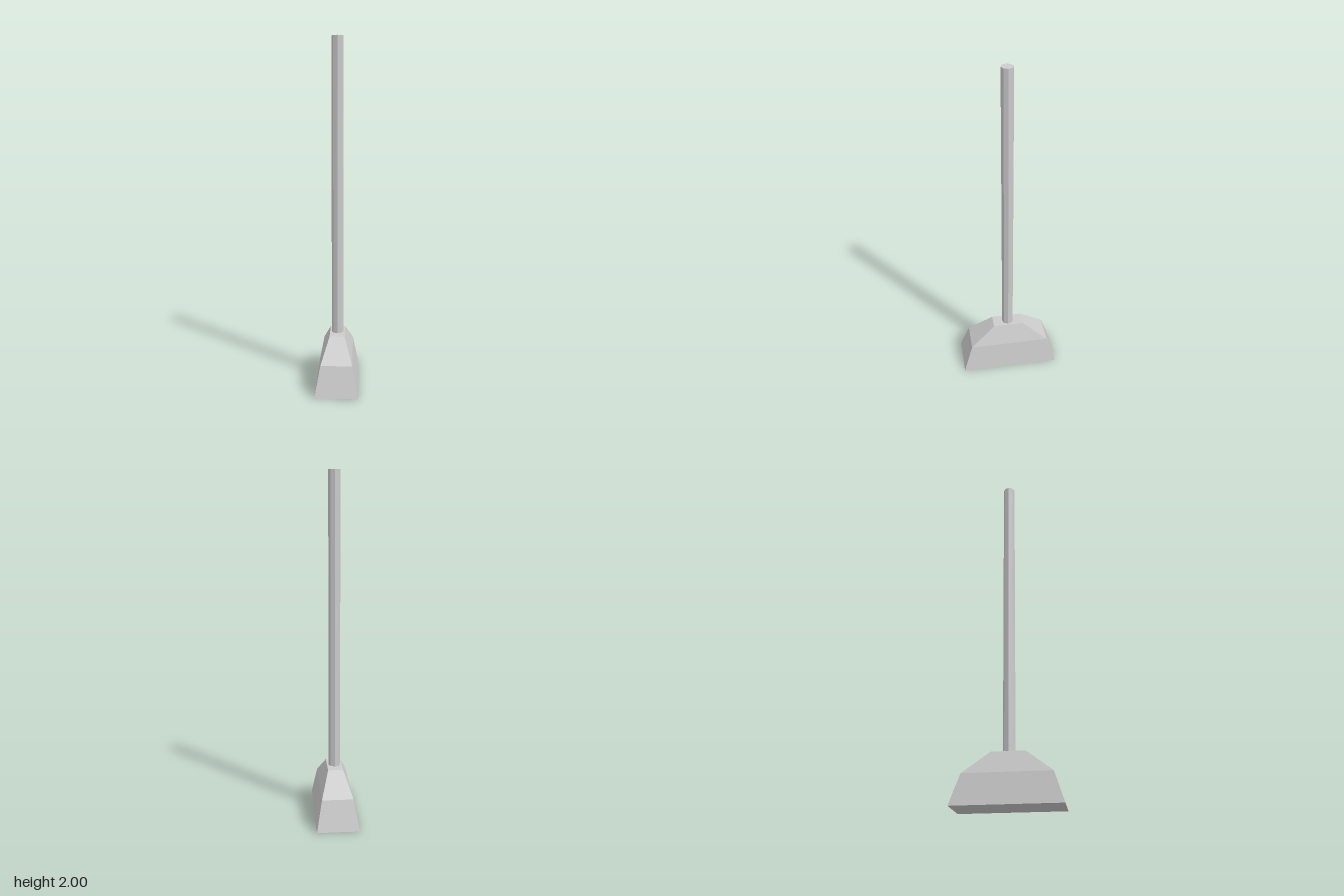
import * as THREE from 'three';

const material = new THREE.MeshStandardMaterial({ color: 0xcccccc, flatShading: true });

// Sections of the head, bottom to top: height, half width (x), half depth (z)
const HEAD_SECTIONS = [
  [0, 0.122, 0.297],
  [0.17, 0.09, 0.242],
  [0.29, 0.044, 0.093],
];

const POLE_RADIUS = 0.034;
const TOP = 2;

// Box with two height segments, each ring of corners moved to its section
function createHead() {
  const geometry = new THREE.BoxGeometry(2, 2, 2, 1, 2, 1);
  const p = geometry.attributes.position;
  for (let i = 0; i < p.count; i++) {
    const [y, halfX, halfZ] = HEAD_SECTIONS[Math.round(p.getY(i)) + 1];
    p.setXYZ(i, Math.sign(p.getX(i)) * halfX, y, Math.sign(p.getZ(i)) * halfZ);
  }
  geometry.computeVertexNormals();
  const head = new THREE.Mesh(geometry, material);
  head.name = 'head';
  return head;
}

// Octagonal pole standing on the flat top of the head
function createPole() {
  const base = HEAD_SECTIONS[2][0] - 0.01;
  const geometry = new THREE.CylinderGeometry(POLE_RADIUS, POLE_RADIUS, TOP - base, 8);
  const pole = new THREE.Mesh(geometry, material);
  pole.position.y = (TOP + base) / 2;
  pole.name = 'pole';
  return pole;
}

export function createModel() {
  const model = new THREE.Group();
  model.name = 'poleWithHead';
  model.add(createHead(), createPole());
  return model;
}
